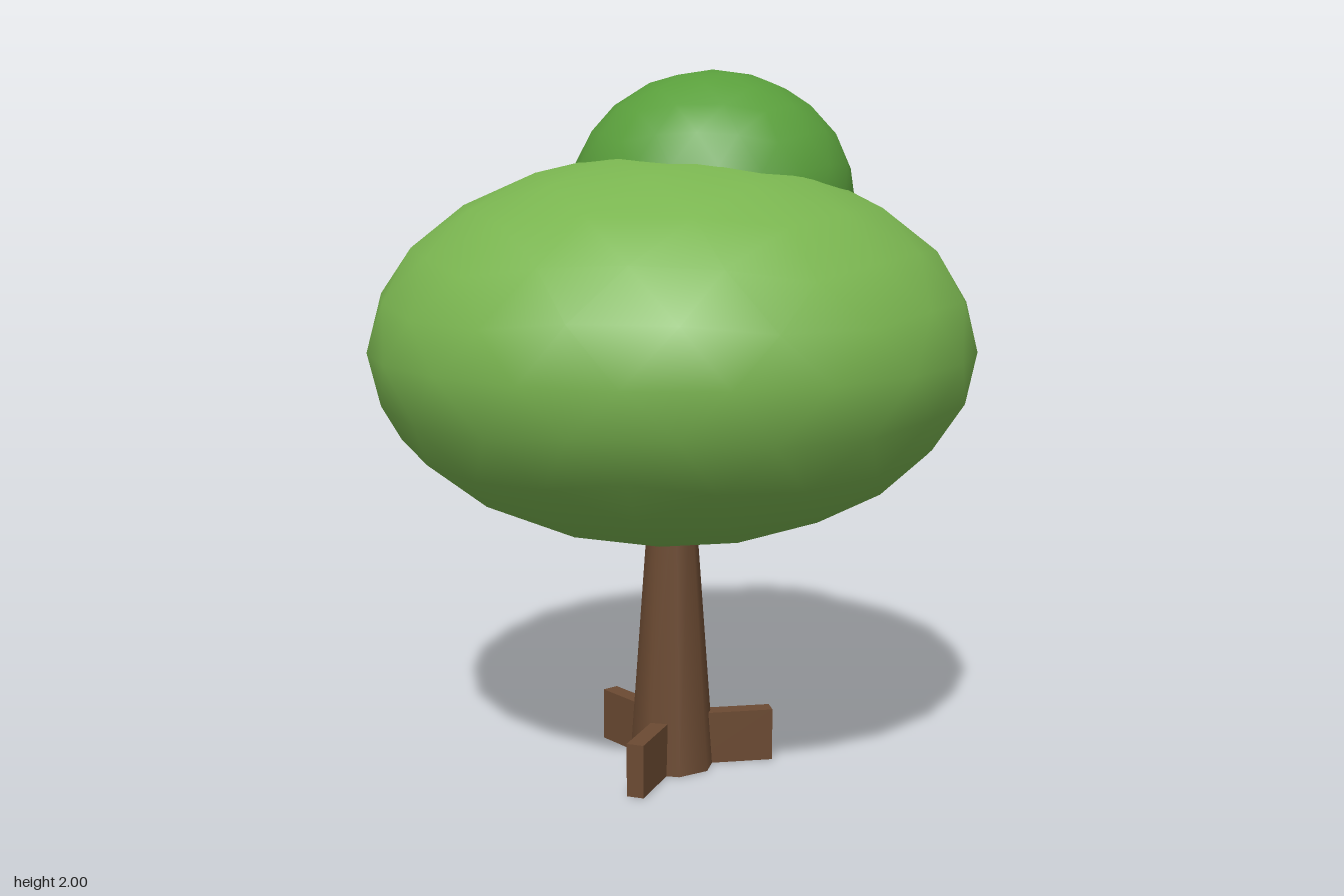
import * as THREE from 'three';

const BARK = 0x6b4a32;

function addPart(group, name, geometry, color) {
  const mesh = new THREE.Mesh(geometry, new THREE.MeshStandardMaterial({ color }));
  mesh.name = name;
  group.add(mesh);
  return mesh;
}

// Smooth low-poly ball: an icosahedron halved twice, turned to stand on a corner
function leafBall(rx, ry, rz) {
  const base = Array.from(new THREE.IcosahedronGeometry(1, 1).attributes.position.array);
  const faces = Array.from({ length: base.length / 3 }, (_, i) => i);
  const geometry = new THREE.PolyhedronGeometry(base, faces, 1, 1);
  geometry.rotateZ(Math.atan2(2, 1 + Math.sqrt(5)));
  geometry.rotateY(Math.PI);
  return geometry.scale(rx, ry, rz);
}

export function createModel() {
  const tree = new THREE.Group();
  tree.name = 'tree';

  // Tapered trunk, its top hidden inside the crown
  const trunkHeight = 0.85;
  const trunk = new THREE.CylinderGeometry(0.063, 0.125, trunkHeight, 8);
  trunk.translate(0, trunkHeight / 2, 0);
  addPart(tree, 'trunk', trunk, BARK);

  // Three slab roots around the base
  for (let i = 0; i < 3; i++) {
    const root = new THREE.BoxGeometry(0.245, 0.153, 0.05);
    root.translate(0.1725, 0.0765, 0);
    addPart(tree, 'root' + (i + 1), root, BARK).rotation.y = (i * Math.PI * 2) / 3;
  }

  // Wide crown and the smaller, darker one set off-centre on top
  addPart(tree, 'lowerCrown', leafBall(0.85, 0.545, 0.85), 0x7ab550).position.set(0, 1.23, 0);
  addPart(tree, 'upperCrown', leafBall(0.405, 0.36, 0.405), 0x5a9f3c).position.set(0.135, 1.64, -0.11);

  return tree;
}
